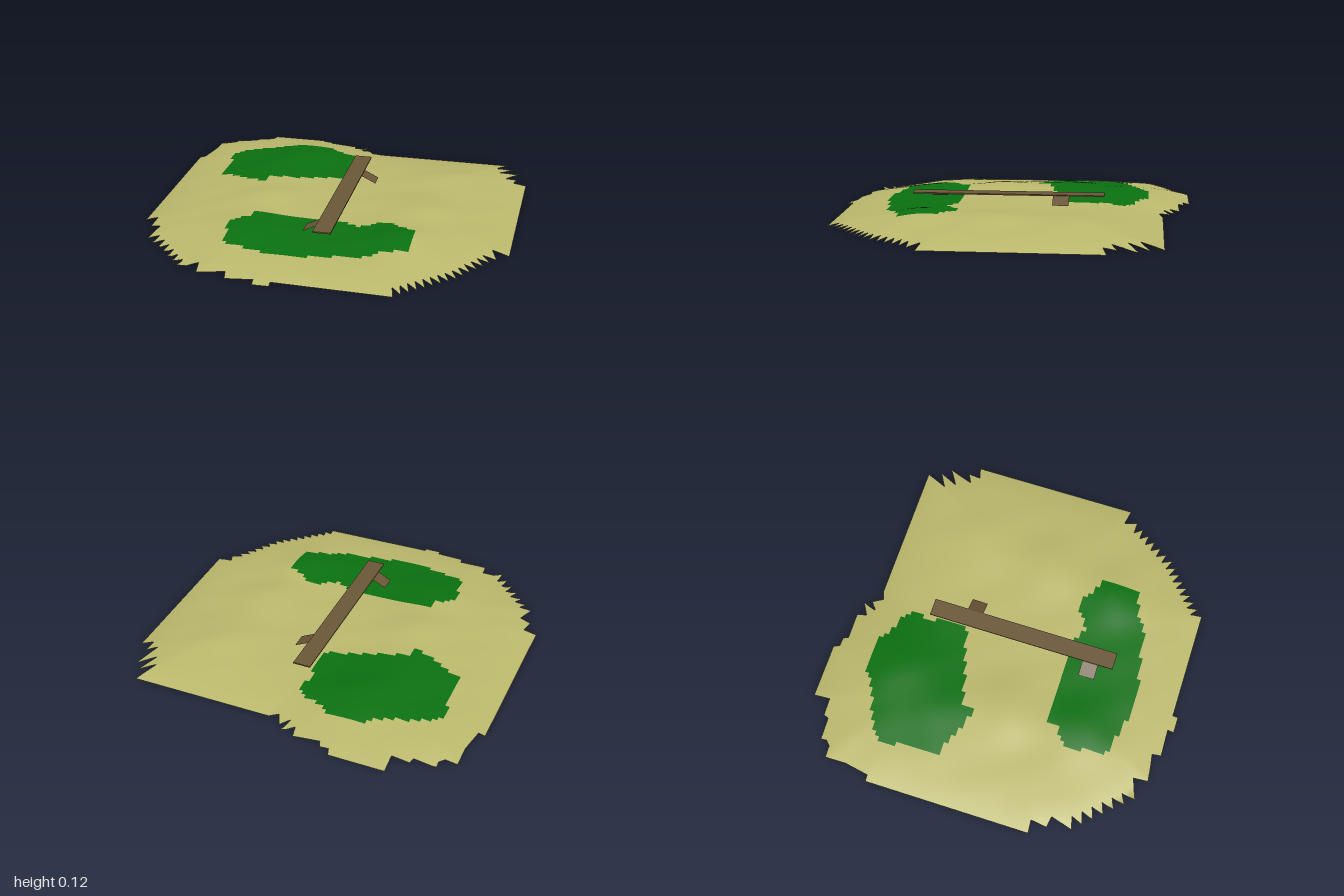
import * as THREE from 'three';
import { mergeVertices } from 'three/addons/utils/BufferGeometryUtils.js';

const mat = (name, color, side = THREE.DoubleSide) => {
  const m = new THREE.MeshStandardMaterial({ color, side });
  m.name = name;
  return m;
};

// Smooth shoreline, where the ground reaches y = 0
const shore = [[-0.625, -0.985], [-0.32, -0.985], [-0.1, -0.925], [0.08, -0.83], [0.87, -0.83], [1, -0.55],
  [1, 0.385], [0.94, 0.44], [0.78, 0.7], [0.49, 0.95], [-0.2, 0.98], [-0.53, 0.93], [-0.91, 0.6],
  [-1, 0.385], [-1, -0.545], [-0.94, -0.8]];

// Gentle mounds: x, z, height, radius
const mounds = [[-0.32, -0.58, 0.03, 0.2], [-0.5, -0.25, 0.022, 0.2], [-0.4, 0.08, 0.033, 0.18],
  [0.5, 0.05, 0.03, 0.17], [0.45, 0.45, 0.035, 0.17], [-0.4, 0.48, 0.025, 0.17], [0.55, -0.4, 0.024, 0.2]];

// Saw teeth along a line of the shore: sharp tips with notches pulled inward
function teeth(a, b, n, depth) {
  const pts = [];
  for (let i = 0; i < n; i++) {
    const t = i / n, m = (i + 0.6) / n;
    const at = k => [a[0] + (b[0] - a[0]) * k, a[1] + (b[1] - a[1]) * k];
    const p = at(m), len = Math.hypot(p[0], p[1]);
    pts.push(at(t), [p[0] * (1 - depth / len), p[1] * (1 - depth / len)]);
  }
  return pts;
}

const outline = [
  // back
  [-0.625, -0.985], [-0.32, -0.985], [-0.31, -0.95], [-0.26, -0.95], [-0.25, -0.92], [-0.1, -0.925],
  [-0.09, -0.87], [-0.02, -0.91], [-0.05, -0.83], [0, -0.87], [0.03, -0.81], [0.08, -0.83], [0.87, -0.83],
  [0.81, -0.71], [0.9, -0.76], [0.84, -0.65], [0.94, -0.71], [0.88, -0.57], [0.94, -0.6], [0.93, -0.53],
  // left side and front
  [1, -0.55], [1, 0.385], [0.91, 0.37],
  ...teeth([0.94, 0.44], [0.77, 0.7], 6, 0.06), ...teeth([0.77, 0.7], [0.49, 0.95], 8, 0.06),
  [0.49, 0.95], [-0.13, 0.95], [-0.13, 0.98], [-0.22, 0.98], [-0.22, 0.945], [-0.37, 0.95], [-0.38, 0.9],
  [-0.44, 0.91], [-0.53, 0.92], [-0.54, 0.84],
  // right side
  ...teeth([-0.65, 0.88], [-0.91, 0.6], 6, 0.06),
  [-0.91, 0.6], [-0.88, 0.48], [-0.94, 0.47], [-0.93, 0.38], [-1, 0.385], [-1, -0.545], [-0.965, -0.545],
  [-0.94, -0.68], [-0.94, -0.8], [-0.85, -0.8], [-0.85, -0.86], [-0.73, -0.86], [-0.72, -0.89], [-0.625, -0.89],
];

const grassPatches = [
  [[-0.49, -0.69], [-0.42, -0.74], [-0.2, -0.74], [-0.15, -0.69], [-0.06, -0.68], [0, -0.62], [0, -0.55],
    [-0.05, -0.53], [0, -0.47], [0, -0.29], [-0.1, -0.27], [-0.26, -0.22], [-0.45, -0.16], [-0.46, -0.1],
    [-0.57, -0.14], [-0.74, -0.21], [-0.74, -0.42], [-0.77, -0.45], [-0.77, -0.55], [-0.67, -0.62]],
  [[-0.39, 0.31], [0.13, 0.31], [0.17, 0.34], [0.25, 0.33], [0.27, 0.27], [0.36, 0.28], [0.42, 0.33],
    [0.49, 0.35], [0.49, 0.57], [0.37, 0.6], [0.28, 0.66], [0.1, 0.69], [-0.02, 0.72], [-0.22, 0.72],
    [-0.46, 0.66], [-0.48, 0.55], [-0.51, 0.49], [-0.51, 0.43], [-0.4, 0.36]],
];

function shoreDistance(x, z) {
  let best = Infinity;
  shore.forEach(([ax, az], i) => {
    const [bx, bz] = shore[(i + 1) % shore.length];
    const dx = bx - ax, dz = bz - az;
    const t = THREE.MathUtils.clamp(((x - ax) * dx + (z - az) * dz) / (dx * dx + dz * dz), 0, 1);
    best = Math.min(best, Math.hypot(x - ax - t * dx, z - az - t * dz));
  });
  return best;
}

function groundHeight(x, z) {
  let h = 0.067 + 0.002 * Math.sin(x * 17 + z * 5) * Math.sin(z * 19 - x * 4);
  for (const [mx, mz, top, r] of mounds) h += top * Math.exp(-((x - mx) ** 2 + (z - mz) ** 2) / (r * r));
  return h * (1 - Math.exp(-shoreDistance(x, z) / 0.2));
}

function inside([x, z], poly) {
  let hit = false;
  poly.forEach(([ax, az], i) => {
    const [bx, bz] = poly[(i + 1) % poly.length];
    if ((az > z) !== (bz > z) && x < ax + (bx - ax) * (z - az) / (bz - az)) hit = !hit;
  });
  return hit;
}

// Cut a polygon along one axis, keeping the side given by sign
function clip(poly, axis, value, sign) {
  const out = [];
  poly.forEach((a, i) => {
    const b = poly[(i + 1) % poly.length];
    const da = (a[axis] - value) * sign, db = (b[axis] - value) * sign;
    if (da >= 0) out.push(a);
    if ((da > 0 && db < 0) || (da < 0 && db > 0)) {
      const t = da / (da - db);
      const p = [a[0] + (b[0] - a[0]) * t, a[1] + (b[1] - a[1]) * t];
      p[axis] = value;
      out.push(p);
    }
  });
  return out;
}

// Fine grid cut by the outline; whole cells are sand or grass
function groundGeometry() {
  const n = 80, step = 2 / n, sand = [], grass = [];
  for (let i = 0; i < n; i++) {
    const x = -1 + i * step;
    const column = clip(clip(outline, 0, x, 1), 0, x + step, -1);
    for (let j = 0; j < n; j++) {
      const z = -1 + j * step;
      const cell = clip(clip(column, 1, z, 1), 1, z + step, -1);
      if (cell.length < 3) continue;
      const green = grassPatches.some(p => inside([x + step / 2, z + step / 2], p));
      const pts = cell.map(p => new THREE.Vector2(p[0], p[1]));
      for (const [ia, ib, ic] of THREE.ShapeUtils.triangulateShape(pts, [])) {
        const a = pts[ia], b = pts[ib], c = pts[ic];
        const up = (b.y - a.y) * (c.x - a.x) - (b.x - a.x) * (c.y - a.y);
        if (Math.abs(up) < 1e-9) continue;
        for (const p of up > 0 ? [a, b, c] : [a, c, b]) {
          (green ? grass : sand).push(p.x, groundHeight(p.x, p.y), p.y);
        }
      }
    }
  }
  let geo = new THREE.BufferGeometry();
  geo.setAttribute('position', new THREE.Float32BufferAttribute(sand.concat(grass), 3));
  geo = mergeVertices(geo, 1e-5);
  geo.clearGroups();
  geo.addGroup(0, sand.length / 3, 0);
  geo.addGroup(sand.length / 3, grass.length / 3, 1);
  geo.computeVertexNormals();
  return geo;
}

export function createModel() {
  const model = new THREE.Group();
  const sand = mat('sand', 0xbab76c), grass = mat('grass', 0x0a7010), wood = mat('wood', 0x6a5638);
  const add = (name, geo, material) => {
    const mesh = new THREE.Mesh(geo, material);
    mesh.name = name;
    model.add(mesh);
    return mesh;
  };

  add('ground', groundGeometry(), [sand, grass]);

  // Long flat walkway
  add('walkway', new THREE.BoxGeometry(0.097, 0.007, 1.065), wood).position.set(0.0375, 0.114, 0.025);

  // Thin ramps sloping down from the walkway to the ground
  const ramp = (name, x0, x1, z0, z1) => {
    const drop = 0.04, run = Math.abs(x1 - x0);
    const geo = new THREE.PlaneGeometry(Math.hypot(run, drop), z1 - z0).rotateX(-Math.PI / 2);
    const mesh = add(name, geo, wood);
    mesh.rotation.z = -Math.sign(x1 - x0) * Math.atan2(drop, run);
    mesh.position.set((x0 + x1) / 2, 0.113 - drop / 2, (z0 + z1) / 2);
  };
  ramp('backRamp', 0.084, 0.165, -0.315, -0.225);
  ramp('frontRamp', -0.009, -0.085, 0.385, 0.475);
  return model;
}
